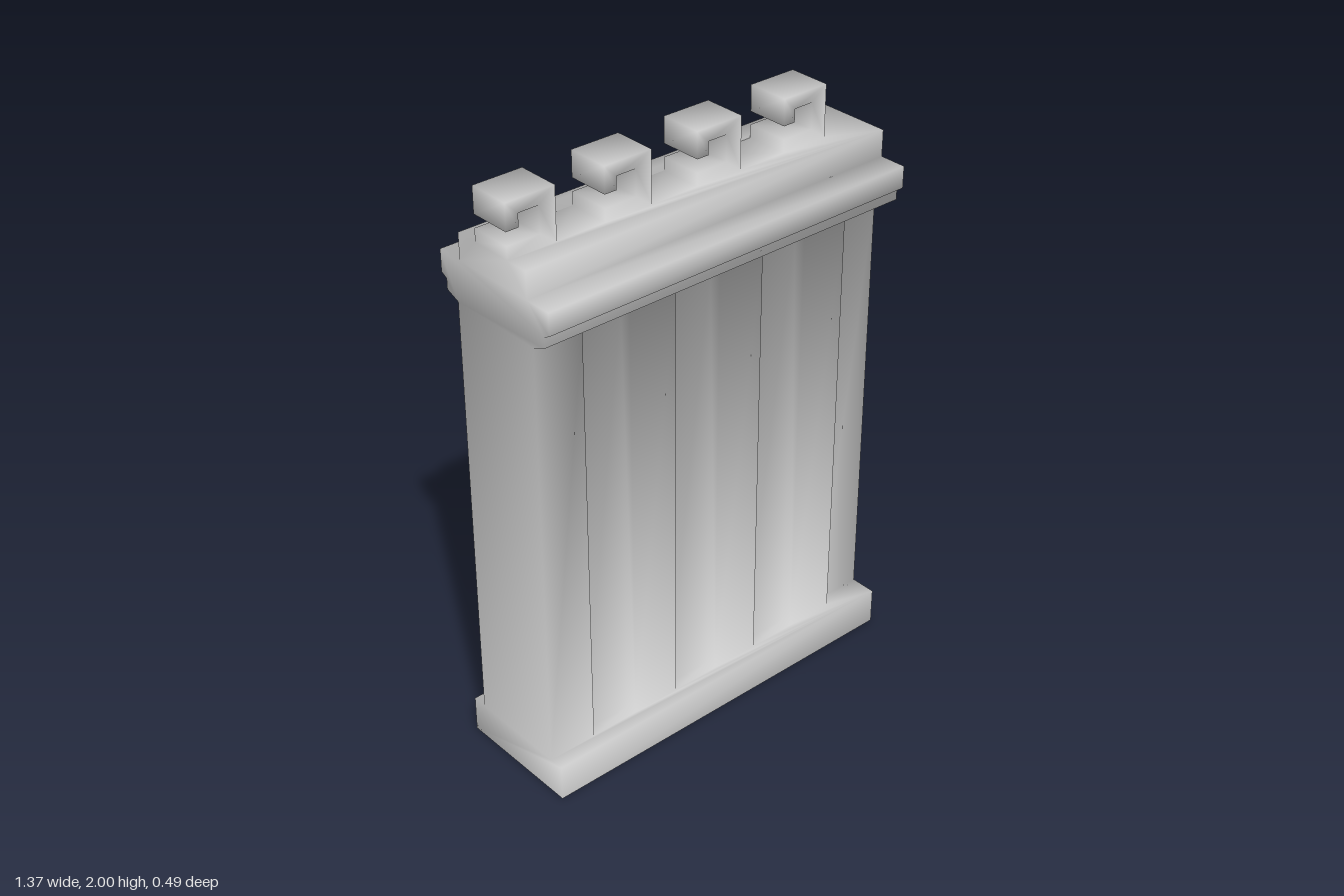
import * as THREE from 'three';

const HALF = 0.683, BAY = HALF / 4, BASE_TOP = 0.125, WALL_TOP = 1.6, CROWN = 1.828;
const RIB_Z = 0.172, PANEL_Z = 0.132, BASE_Z = 0.222, HOOK_Z = 0.072;

const V = (x, y, z) => new THREE.Vector3(x, y, z);

// Adds a flat polygon of 3D points, with optional holes, facing outward
function addFace(triangles, outline, outward, holes = []) {
  const size = outward.toArray().map(Math.abs);
  const drop = size.indexOf(Math.max(...size));
  const flat = (p) => new THREE.Vector2(...p.toArray().filter((_, i) => i !== drop));
  // Triangulation wants a counter-clockwise outline
  const ring = THREE.ShapeUtils.isClockWise(outline.map(flat)) ? [...outline].reverse() : outline;
  const all = [...ring, ...holes.flat()];
  const indices = THREE.ShapeUtils.triangulateShape(ring.map(flat), holes.map((h) => h.map(flat)));
  for (const [i, j, k] of indices) {
    const [a, b, c] = [all[i], all[j], all[k]];
    const n = b.clone().sub(a).cross(c.clone().sub(a));
    if (n.length() < 1e-9) continue;
    triangles.push(n.dot(outward) > 0 ? [a, b, c] : [a, c, b]);
  }
}

const key = (p) => p.toArray().map((v) => Math.round(v * 1e4)).join();

// Smooth normals shared by touching parts, weighted by corner angle
function sharedNormals(parts) {
  const normals = new Map();
  for (const tri of Object.values(parts).flat()) {
    const n = new THREE.Triangle(...tri).getNormal(V(0, 0, 0));
    tri.forEach((p, i) => {
      const u = tri[(i + 1) % 3].clone().sub(p), w = tri[(i + 2) % 3].clone().sub(p);
      if (!normals.has(key(p))) normals.set(key(p), V(0, 0, 0));
      normals.get(key(p)).addScaledVector(n, u.angleTo(w));
    });
  }
  normals.forEach((n) => n.normalize());
  return normals;
}

export function createModel() {
  const parts = { plinth: [], ribbedBody: [], cornice: [], hooks: [] };

  // Front edge of the wall plan: ribs and recessed panels alternate
  const plan = [];
  for (let i = 0; i < 8; i++) {
    const z = i % 2 === 0 ? RIB_Z : PANEL_Z;
    plan.push([-HALF + i * BAY, z], [-HALF + (i + 1) * BAY, z]);
  }
  // Cornice half profile as [z, y], from the wall up to the crown
  const profile = [[RIB_Z, WALL_TOP], [0.222, 1.62], [0.222, 1.655], [0.245, 1.667],
    [0.245, 1.74], [0.152, 1.74], [0.152, CROWN]];

  for (const s of [1, -1]) {
    // Ribs, panels and the narrow returns between them
    for (let i = 0; i + 1 < plan.length; i++) {
      const [ax, az] = plan[i], [bx, bz] = plan[i + 1];
      addFace(parts.ribbedBody, [V(ax, BASE_TOP, az * s), V(bx, BASE_TOP, bz * s),
        V(bx, WALL_TOP, bz * s), V(ax, WALL_TOP, az * s)], V(az - bz, 0, (bx - ax) * s));
    }
    // Plinth face and the ledge that follows the ribs
    addFace(parts.plinth, [V(-HALF, 0, BASE_Z * s), V(HALF, 0, BASE_Z * s),
      V(HALF, BASE_TOP, BASE_Z * s), V(-HALF, BASE_TOP, BASE_Z * s)], V(0, 0, s));
    addFace(parts.plinth, [...plan, [HALF, BASE_Z], [-HALF, BASE_Z]]
      .map(([x, z]) => V(x, BASE_TOP, z * s)), V(0, 1, 0));
    // Cornice bands; the lowest one meets every rib corner
    for (let i = 0; i + 1 < profile.length; i++) {
      const [az, ay] = profile[i], [bz, by] = profile[i + 1];
      const lower = [];
      const steps = i === 0 ? 8 : 1;
      for (let k = 0; k <= steps; k++) lower.push(V(-HALF + (2 * HALF * k) / steps, ay, az * s));
      addFace(parts.cornice, [...lower, V(HALF, by, bz * s), V(-HALF, by, bz * s)],
        V(0, az - bz, (by - ay) * s));
    }
    // Soffits over the recessed panels
    for (let i = 1; i < 8; i += 2) {
      const x0 = -HALF + i * BAY, x1 = x0 + BAY;
      addFace(parts.cornice, [V(x0, WALL_TOP, PANEL_Z * s), V(x1, WALL_TOP, PANEL_Z * s),
        V(x1, WALL_TOP, RIB_Z * s), V(x0, WALL_TOP, RIB_Z * s)], V(0, -1, 0));
    }
  }

  // Flush ends: plinth, wall and cornice, from half outlines in [z, y]
  for (const e of [1, -1]) {
    const z = e > 0 ? PANEL_Z : RIB_Z;
    const addEnd = (triangles, half) => addFace(triangles,
      [...half, ...half.map(([a, y]) => [-a, y]).reverse()].map(([a, y]) => V(e * HALF, y, a)),
      V(e, 0, 0));
    addEnd(parts.plinth, [[BASE_Z, 0], [BASE_Z, BASE_TOP], [z, BASE_TOP]]);
    addEnd(parts.ribbedBody, [[z, BASE_TOP], [z, WALL_TOP]]);
    addEnd(parts.cornice, e > 0 ? [[z, WALL_TOP], ...profile] : [...profile, [HOOK_Z, CROWN]]);
  }

  // Hooks: a curled square section above each rib, blended into the crown
  const hook = [[0, 0], [0.17, 0], [0.17, 0.172], [0, 0.172], [0, 0.086],
    [0.043, 0.086], [0.043, 0.129], [0.113, 0.129], [0.113, 0.043], [0, 0.043]];
  const footprints = [];
  for (let h = 0; h < 4; h++) {
    const x0 = -HALF + 2 * h * BAY;
    const at = ([x, y], z) => V(x0 + x, CROWN + y, z);
    for (const s of [1, -1]) addFace(parts.hooks, hook.map((p) => at(p, HOOK_Z * s)), V(0, 0, s));
    for (let i = 1; i < hook.length; i++) {
      const a = hook[i], b = hook[(i + 1) % hook.length];
      addFace(parts.hooks, [at(a, HOOK_Z), at(b, HOOK_Z), at(b, -HOOK_Z), at(a, -HOOK_Z)],
        V(b[1] - a[1], a[0] - b[0], 0));
    }
    footprints.push([at(hook[0], HOOK_Z), at(hook[1], HOOK_Z),
      at(hook[1], -HOOK_Z), at(hook[0], -HOOK_Z)]);
  }

  // Crown: the first footprint notches its end, the others are holes
  const [notch, ...holes] = footprints;
  const crownZ = profile[profile.length - 1][0];
  addFace(parts.cornice, [V(-HALF, CROWN, crownZ), V(HALF, CROWN, crownZ),
    V(HALF, CROWN, -crownZ), V(-HALF, CROWN, -crownZ),
    notch[3], notch[2], notch[1], notch[0]], V(0, 1, 0), holes);

  const model = new THREE.Group();
  model.name = 'ribbedWall';
  const material = new THREE.MeshStandardMaterial({ color: 0xcccccc, side: THREE.DoubleSide });
  const normals = sharedNormals(parts);
  for (const [name, triangles] of Object.entries(parts)) {
    const points = triangles.flat();
    const geometry = new THREE.BufferGeometry().setFromPoints(points);
    geometry.setAttribute('normal', new THREE.Float32BufferAttribute(
      points.flatMap((p) => normals.get(key(p)).toArray()), 3));
    const mesh = new THREE.Mesh(geometry, material);
    mesh.name = name;
    model.add(mesh);
  }
  return model;
}
